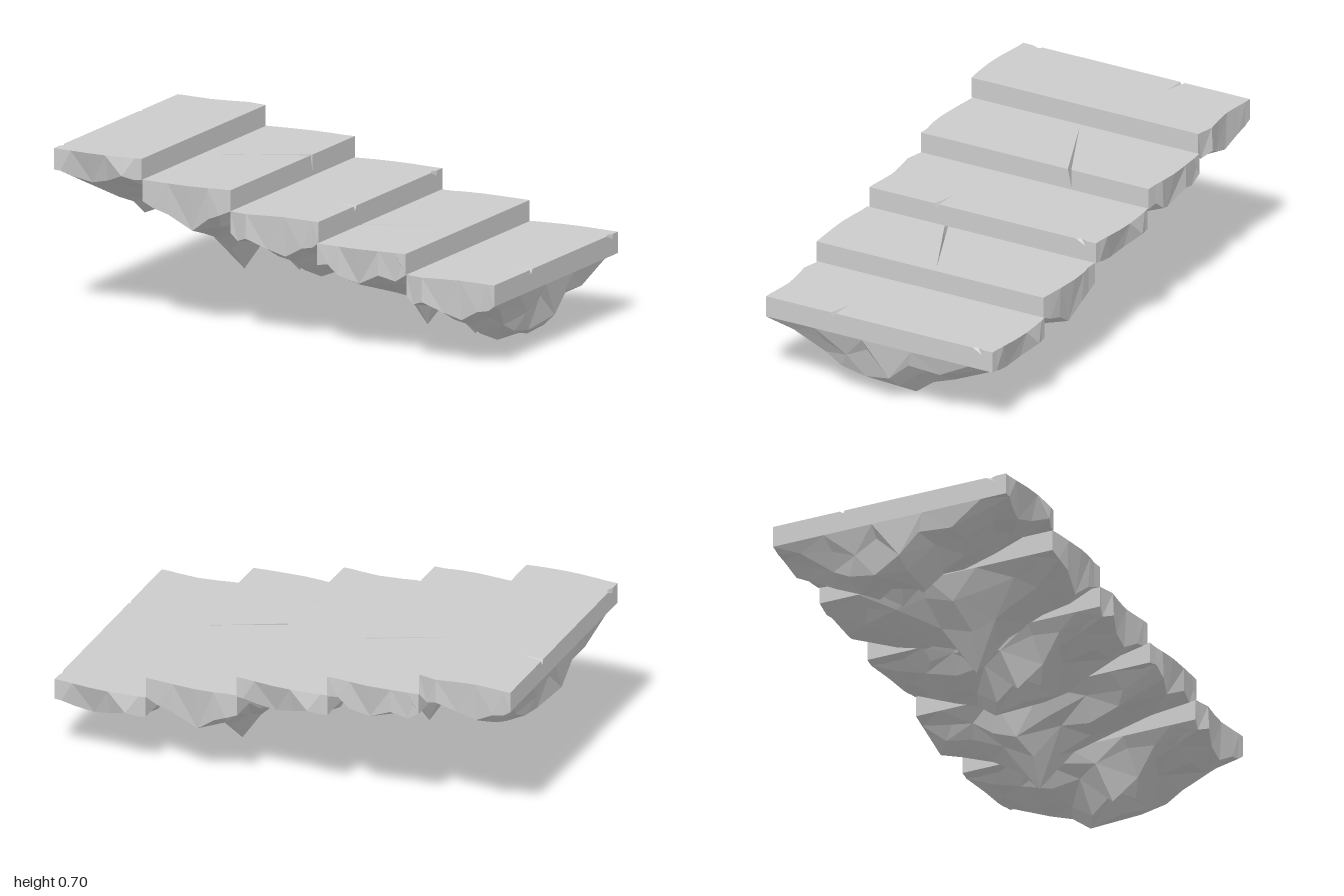
import * as THREE from 'three';

const SLAB = 0.088; // height of one riser
const material = new THREE.MeshStandardMaterial({ color: 0xcccccc, flatShading: true });

// Two rock variants. Columns run along x; each row is [z, depth below the tread per inner column].
// Lips are the lower border of the end faces: outward shift and depth per column.
// Notches are wedge cracks in the right edge, each closing at its keel z.
const WIDE = {
  x: [-0.2, -0.17, -0.12, -0.04, 0.04, 0.12, 0.17, 0.2],
  front: [0.53, 0.535, 0.545, 0.53, 0.52, 0.525, 0.53, 0.53],
  back: [-0.535, -0.54, -0.545, -0.55, -0.548, -0.54, -0.535, -0.535],
  frontLip: {
    out: [0, -0.01, 0.005, -0.012, -0.01, 0, -0.005, 0],
    depth: [0.088, 0.12, 0.1, 0.14, 0.165, 0.12, 0.11, 0.088],
  },
  backLip: {
    out: [0, 0, 0.015, -0.03, -0.045, -0.02, 0, 0],
    depth: [0.088, 0.09, 0.075, 0.11, 0.13, 0.11, 0.09, 0.088],
  },
  notches: [
    { points: [[0.2, 0.225], [0.1, 0.2], [0.2, 0.203]], keel: 0.215 },
    { points: [[0.2, -0.44], [0.187, -0.46], [0.2, -0.49]], keel: -0.485 },
  ],
  notchDepth: 0.022,
  rows: [
    [0.42, 0.12, 0.15, 0.19, 0.2, 0.17, 0.13],
    [0.3, 0.14, 0.18, 0.22, 0.26, 0.22, 0.15],
    [0.2, 0.13, 0.24, 0.3, 0.31, 0.26, 0.19],
    [0.08, 0.17, 0.32, 0.24, 0.31, 0.28, 0.14],
    [-0.05, 0.14, 0.19, 0.32, 0.343, 0.29, 0.24],
    [-0.15, 0.13, 0.21, 0.26, 0.28, 0.2, 0.16],
    [-0.28, 0.14, 0.17, 0.22, 0.24, 0.2, 0.17],
    [-0.42, 0.1, 0.13, 0.15, 0.16, 0.15, 0.12],
  ],
};

const PEAKED = {
  x: [-0.2, -0.15, -0.08, 0.02, 0.1, 0.15, 0.2],
  front: [0.53, 0.535, 0.54, 0.545, 0.54, 0.53, 0.53],
  back: [-0.535, -0.54, -0.545, -0.55, -0.545, -0.54, -0.54],
  frontLip: {
    out: [0, 0, -0.005, -0.03, -0.01, 0, 0],
    depth: [0.088, 0.11, 0.13, 0.19, 0.13, 0.11, 0.088],
  },
  backLip: {
    out: [0, -0.01, 0, -0.03, 0.004, 0.004, 0],
    depth: [0.088, 0.12, 0.1, 0.15, 0.12, 0.08, 0.088],
  },
  notches: [{ points: [[0.2, -0.16], [-0.17, 0.01], [0.2, -0.176]], keel: -0.178 }],
  notchDepth: 0.082,
  rows: [
    [0.42, 0.13, 0.18, 0.22, 0.18, 0.13],
    [0.3, 0.14, 0.22, 0.27, 0.2, 0.15],
    [0.18, 0.17, 0.27, 0.34, 0.26, 0.22],
    [0.07, 0.19, 0.3, 0.44, 0.33, 0.26],
    [-0.05, 0.15, 0.26, 0.31, 0.22, 0.2],
    [-0.2, 0.17, 0.2, 0.26, 0.24, 0.14],
    [-0.36, 0.13, 0.17, 0.2, 0.2, 0.15],
  ],
};

// Flat stone layer with ragged ends; each notch narrows to a single keel point at the bottom
function slabLayer(v, top, height, notches) {
  const points = v.x.map((x, i) => [x, v.front[i]]);
  points.push(...notches.flatMap((notch) => notch.points));
  for (let i = v.x.length - 1; i >= 0; i--) points.push([v.x[i], v.back[i]]);
  const shape = new THREE.Shape(points.map(([x, z]) => new THREE.Vector2(x, z)));
  const geometry = new THREE.ExtrudeGeometry(shape, { depth: height, bevelEnabled: false });
  geometry.rotateX(Math.PI / 2);
  geometry.translate(0, top, 0);
  const p = geometry.attributes.position;
  for (let i = 0; i < p.count; i++) {
    const [x, y, z] = [p.getX(i), p.getY(i), p.getZ(i)];
    if (y > -1e-4) continue;
    const notch = notches.find((n) => n.points.some(([nx, nz]) => Math.hypot(nx - x, nz - z) < 1e-4));
    if (notch) p.setXYZ(i, 0.2, y, notch.keel);
    // below the tread the ends draw in behind the sloping rock faces
    else if (Math.abs(x) < 0.19) p.setZ(i, z * 0.9);
  }
  geometry.computeVertexNormals();
  return new THREE.Mesh(geometry, material);
}

// Broken underside: a faceted sheet running down one end, along the bottom and up the other end
function rockGeometry(v) {
  const last = v.x.length - 1;
  const rim = (zs) => v.x.map((x, i) => [x, 0, zs[i]]);
  const lip = (zs, { out, depth }, s) => v.x.map((x, i) => [x, -depth[i], zs[i] + s * out[i]]);
  const body = v.rows.map(([z, ...depths], r) => v.x.map((x, i) => {
    const side = i === 0 || i === last;
    const shift = side ? 0 : Math.sin(r * 5.3 + i * 2.1);
    return [x + shift * 0.01, side ? -SLAB : -depths[i - 1], z + shift * 0.025];
  }));
  const grid = [rim(v.front), lip(v.front, v.frontLip, 1), ...body, lip(v.back, v.backLip, -1), rim(v.back)];

  const index = [];
  const n = last + 1;
  for (let r = 0; r < grid.length - 1; r++) {
    for (let i = 0; i < last; i++) {
      const a = r * n + i, b = a + 1, c = a + n, d = c + 1;
      // alternate the diagonals for an irregular break
      if ((r + i) % 2) index.push(a, c, b, b, c, d);
      else index.push(a, c, d, a, d, b);
    }
  }
  const geometry = new THREE.BufferGeometry();
  geometry.setAttribute('position', new THREE.Float32BufferAttribute(grid.flat(2), 3));
  geometry.setIndex(index);
  const faceted = geometry.toNonIndexed();
  faceted.computeVertexNormals();
  return faceted;
}

// One step: cracked top layer, plain layer below it, rock hanging underneath
function buildStep(v) {
  const step = new THREE.Group();
  const tread = slabLayer(v, 0, v.notchDepth, v.notches);
  tread.name = 'crackedTread';
  const base = slabLayer(v, -v.notchDepth, SLAB - v.notchDepth, []);
  base.name = 'slabBase';
  const rock = new THREE.Mesh(rockGeometry(v), material);
  rock.name = 'rockyUnderside';
  step.add(tread, base, rock);
  return step;
}

export function createModel() {
  const stairs = new THREE.Group();
  stairs.name = 'floatingStoneStairs';
  // Variants alternate, some turned half round
  const layout = [[WIDE, true], [PEAKED, false], [WIDE, false], [PEAKED, true], [WIDE, false]];
  layout.forEach(([variant, turned], i) => {
    const step = buildStep(variant);
    step.name = `step${i + 1}`;
    step.position.set(-0.8 + i * 0.4, 0.705 - i * 0.0867, 0);
    if (turned) step.rotation.y = Math.PI;
    stairs.add(step);
  });
  return stairs;
}
